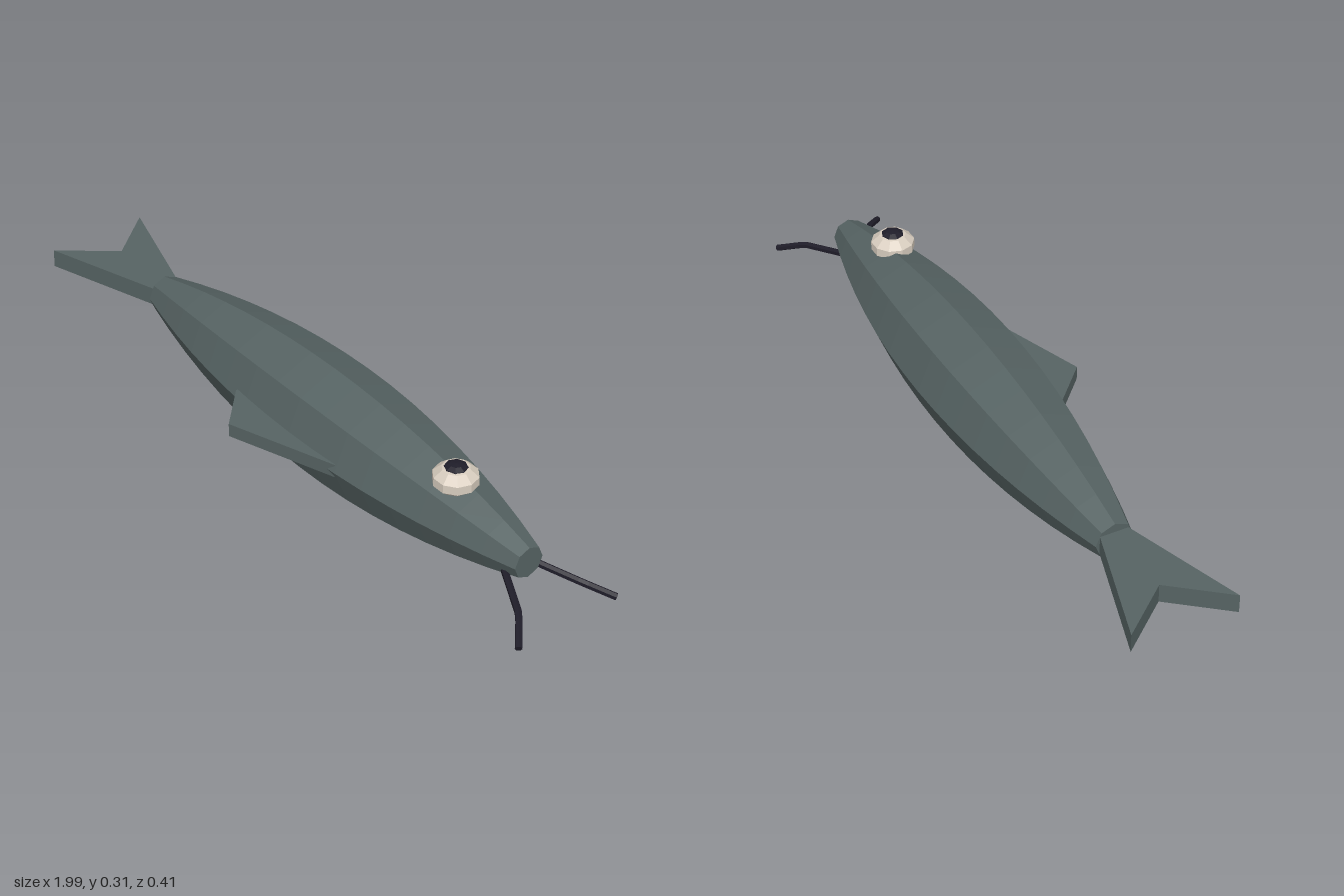
import * as THREE from 'three';

const AXIS_Y = 0.156, AXIS_Z = -0.042;

function material(name, color) {
  const m = new THREE.MeshStandardMaterial({ color, flatShading: true });
  m.name = name;
  return m;
}

// Flat plate outlined in x/z, extruded upward between two heights
function plate(name, points, y0, y1, mat) {
  const shape = new THREE.Shape(points.map(([x, z]) => new THREE.Vector2(x, -z)));
  const geo = new THREE.ExtrudeGeometry(shape, { depth: y1 - y0, bevelEnabled: false });
  geo.rotateX(-Math.PI / 2).translate(0, y0, 0);
  const mesh = new THREE.Mesh(geo, mat);
  mesh.name = name;
  return mesh;
}

// Squashed low-poly ball
function ball(name, r, ry, segments, rings, y, mat) {
  const mesh = new THREE.Mesh(new THREE.SphereGeometry(r, segments, rings).scale(1, ry / r, 1), mat);
  mesh.name = name;
  mesh.position.y = y;
  return mesh;
}

export function createModel() {
  const group = new THREE.Group();
  group.name = 'fish';
  const skin = material('slate skin', 0x566363);
  const white = material('eye white', 0xd8cdbf);
  const dark = material('dark', 0x1f1d29);

  // Eight-sided spindle body with flat ends
  const x0 = -0.665, x1 = 0.838, peak = 0.085, steps = 16;
  const profile = [new THREE.Vector2(0, x0)];
  for (let i = 0; i <= steps; i++) {
    const x = x0 + (x1 - x0) * i / steps;
    const t = x < peak ? (peak - x) / (peak - x0) : (x - peak) / (x1 - peak);
    const end = x < peak ? 0.052 : 0.044;
    profile.push(new THREE.Vector2(0.155 - (0.155 - end) * t * t, x));
  }
  profile.push(new THREE.Vector2(0, x1));
  const body = new THREE.Mesh(new THREE.LatheGeometry(profile, 8).rotateZ(-Math.PI / 2), skin);
  body.name = 'body';
  body.position.set(0, AXIS_Y, AXIS_Z);
  group.add(body);

  // Forked tail and the single side fin
  group.add(plate('tailFin', [[-1, -0.19], [-0.88, -0.045], [-1, 0.103], [-0.64, -0.012], [-0.64, -0.075]], 0.131, 0.183, skin));
  group.add(plate('sideFin', [[-0.145, 0.09], [-0.145, 0.1], [-0.035, 0.205], [0.268, 0.1], [0.268, 0.08]], 0.138, 0.176, skin));

  // Single eye on top of the head
  const eye = new THREE.Group();
  eye.name = 'eye';
  eye.position.set(0.583, 0, -0.025);
  eye.add(ball('eyeball', 0.062, 0.038, 10, 5, 0.267, white));
  eye.add(ball('pupil', 0.034, 0.018, 8, 6, 0.292, dark));
  group.add(eye);

  // Pair of bent whiskers, mirrored about the body axis
  const path = [[0.78, 0.126, 0.03], [0.92, 0.099, 0.1], [0.985, 0.067, 0.157]];
  for (const side of [1, -1]) {
    const curve = new THREE.CurvePath();
    const pts = path.map(([x, y, z]) => new THREE.Vector3(x, y, AXIS_Z + side * z));
    curve.add(new THREE.LineCurve3(pts[0], pts[1]));
    curve.add(new THREE.LineCurve3(pts[1], pts[2]));
    const whisker = new THREE.Group();
    whisker.name = side > 0 ? 'frontWhisker' : 'backWhisker';
    const tube = new THREE.Mesh(new THREE.TubeGeometry(curve, 10, 0.0095, 6), dark);
    tube.name = 'whiskerStem';
    const tip = new THREE.Mesh(new THREE.CircleGeometry(0.0095, 6), dark);
    tip.name = 'whiskerTip';
    tip.position.copy(pts[2]);
    tip.lookAt(pts[2].clone().multiplyScalar(2).sub(pts[1]));
    whisker.add(tube, tip);
    group.add(whisker);
  }
  return group;
}
